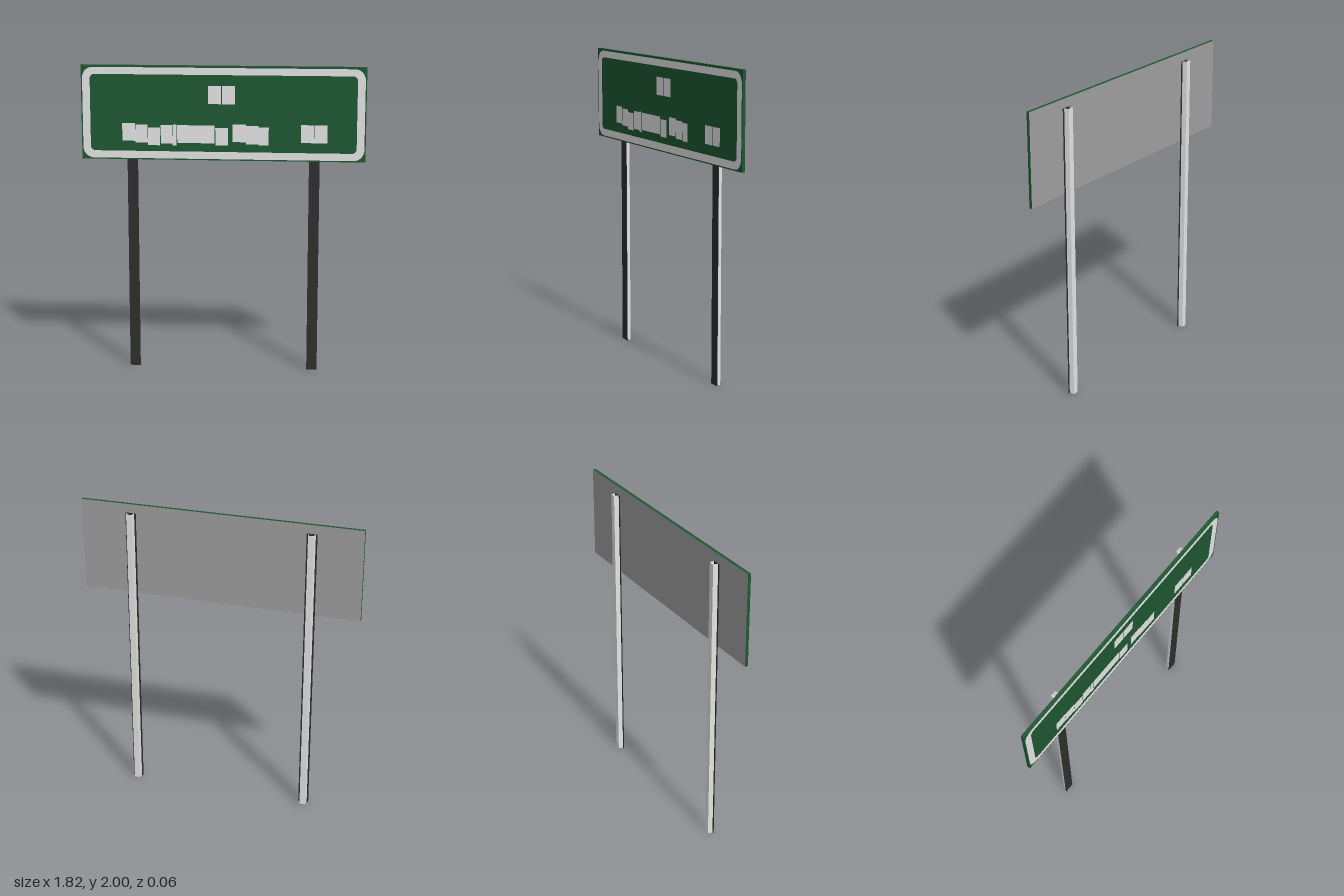
import * as THREE from 'three';

const flat = (name, color, extra = {}) =>
  Object.assign(new THREE.MeshStandardMaterial({ color }), { name }, extra);

// Rounded rectangle outline, used for shapes and holes
function roundedRect(Kind, x0, y0, x1, y1, r) {
  const s = new Kind();
  s.absarc(x1 - r, y1 - r, r, 0, Math.PI / 2);
  s.absarc(x0 + r, y1 - r, r, Math.PI / 2, Math.PI);
  s.absarc(x0 + r, y0 + r, r, Math.PI, Math.PI * 1.5);
  s.absarc(x1 - r, y0 + r, r, Math.PI * 1.5, Math.PI * 2);
  s.closePath();
  return s;
}

export function createModel() {
  const root = new THREE.Group();
  root.name = 'roadSign';
  const green = flat('signGreen', 0x1d5732);
  const pale = flat('paleGrey', 0xe6e6e6);
  const backGrey = flat('backGrey', 0xa1a1a1);
  const dark = flat('darkMetal', 0x2e2e2e);

  const add = (parent, name, geometry, material, x = 0, y = 0, z = 0) => {
    const m = new THREE.Mesh(geometry, material);
    m.name = name;
    m.position.set(x, y, z);
    parent.add(m);
  };

  // Panel: green with a bare metal back
  const bottom = 1.395, top = 2, depth = 0.02;
  add(root, 'panel', new THREE.BoxGeometry(1.816, top - bottom, depth),
    [green, green, green, green, green, backGrey], 0, (top + bottom) / 2, depth / 2);

  // Painted border
  const border = roundedRect(THREE.Shape, -0.9, 1.403, 0.9, 1.987, 0.07);
  border.holes.push(roundedRect(THREE.Path, -0.851, 1.45, 0.851, 1.942, 0.03));
  add(root, 'border', new THREE.ShapeGeometry(border, 8), pale, 0, 0, depth + 0.001);

  // Plain pale blocks: [left, right, bottom, top]
  const blocks = [
    [-0.095, -0.011, 1.757, 1.873], [-0.005, 0.079, 1.757, 1.873],
    [-0.646, -0.562, 1.515, 1.63], [-0.56, -0.482, 1.505, 1.62],
    [-0.48, -0.402, 1.488, 1.603], [-0.398, -0.324, 1.5, 1.62],
    [-0.322, -0.297, 1.488, 1.624], [-0.292, -0.053, 1.505, 1.62],
    [-0.048, 0.032, 1.492, 1.605], [0.063, 0.147, 1.515, 1.63],
    [0.149, 0.227, 1.502, 1.62], [0.229, 0.293, 1.497, 1.613],
    [0.497, 0.58, 1.515, 1.63], [0.582, 0.666, 1.515, 1.63],
  ];
  const blockGroup = new THREE.Group();
  blockGroup.name = 'blocks';
  root.add(blockGroup);
  for (const [l, r, b, t] of blocks) {
    add(blockGroup, 'block', new THREE.PlaneGeometry(r - l, t - b), pale,
      (l + r) / 2, (b + t) / 2, depth + 0.002);
  }

  // Posts: a pale folded channel behind a dark flat strip
  const height = 1.942;
  const channel = new THREE.Shape([
    [-0.024, 0.004], [-0.018, 0.035], [0.018, 0.035], [0.024, 0.004],
    [0.0215, 0.004], [0.016, 0.0325], [-0.016, 0.0325], [-0.0215, 0.004],
  ].map(([x, y]) => new THREE.Vector2(x, y)));
  const channelGeometry = new THREE.ExtrudeGeometry(channel, { depth: height, bevelEnabled: false })
    .rotateX(-Math.PI / 2);
  const stripGeometry = new THREE.BoxGeometry(0.068, height, 0.003);
  for (const side of [-1, 1]) {
    const post = new THREE.Group();
    post.name = side > 0 ? 'leftPost' : 'rightPost';
    post.position.x = side * 0.584;
    root.add(post);
    add(post, 'channel', channelGeometry, pale);
    add(post, 'frontStrip', stripGeometry, dark, 0, height / 2, -0.0025);
  }
  return root;
}
